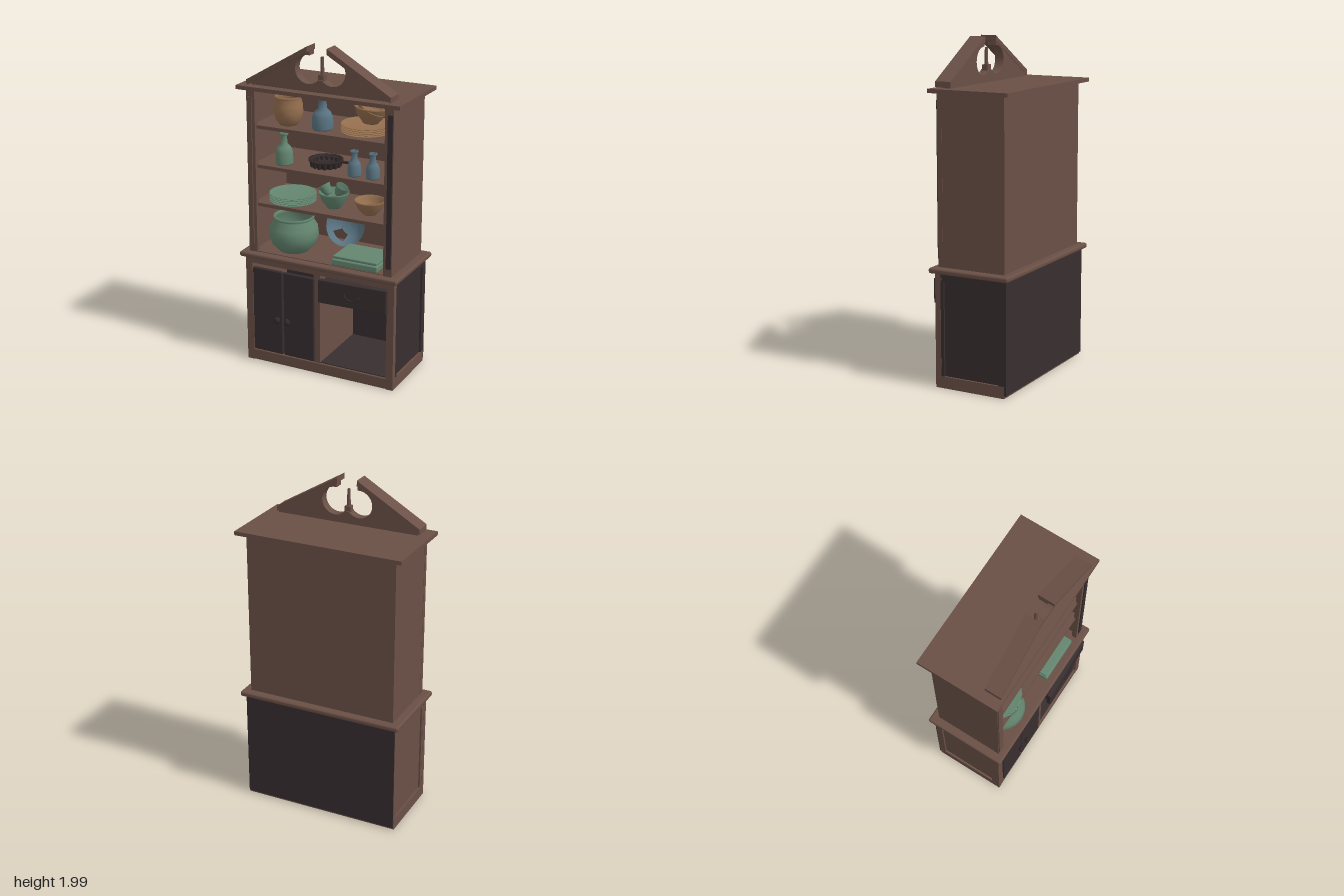
import * as THREE from 'three';
import { RoundedBoxGeometry } from 'three/addons/geometries/RoundedBoxGeometry.js';

const mat = (name, color) => Object.assign(new THREE.MeshStandardMaterial({ color }), { name });

export function createModel() {
  const wood = mat('brown wood', 0x6a5046);
  const dark = mat('dark painted wood', 0x382e30);
  const iron = mat('cast iron', 0x33292a);
  const green = mat('green glaze', 0x648670);
  const blue = mat('blue glaze', 0x5a7583);
  const tan = mat('tan clay', 0x96704f);

  const root = new THREE.Group();
  root.name = 'hutch';
  root.rotation.y = -0.009;

  const add = (name, geo, m, x = 0, y = 0, z = 0, parent = root) => {
    const mesh = new THREE.Mesh(geo, m);
    mesh.name = name;
    mesh.position.set(x, y, z);
    parent.add(mesh);
    return mesh;
  };
  // Box given by its limits on each axis
  const box = (name, m, x0, x1, y0, y1, z0, z1, round = 0) => {
    const s = [x1 - x0, y1 - y0, z1 - z0];
    const geo = round ? new RoundedBoxGeometry(...s, 2, round) : new THREE.BoxGeometry(...s);
    return add(name, geo, m, (x0 + x1) / 2, (y0 + y1) / 2, (z0 + z1) / 2);
  };
  // Turned vessel: closed profile of [radius, height] pairs
  const turned = (pts) => new THREE.LatheGeometry(pts.map((p) => new THREE.Vector2(...p)), 32);

  // Lower cabinet
  box('baseBottom', wood, -0.485, 0.485, 0.015, 0.085, -0.25, 0.19);
  box('baseBack', dark, -0.483, 0.483, 0.03, 0.69, -0.262, -0.25);
  box('baseFloor', dark, 0.01, 0.465, 0.085, 0.09, -0.25, 0.185);
  box('partition', wood, -0.03, 0.01, 0.085, 0.69, -0.25, 0.192);
  box('topRail', wood, -0.484, 0.484, 0.65, 0.69, 0.15, 0.193);
  box('bottomRail', wood, -0.484, 0.484, 0.02, 0.085, 0.15, 0.195, 0.006);
  for (const s of [-1, 1]) {
    const m = s > 0 ? dark : wood;
    const side = (name, mt, a, b, ...r) => box(name, mt, Math.min(s * a, s * b), Math.max(s * a, s * b), ...r);
    side('frontStile', wood, 0.44, 0.485, 0.015, 0.69, 0.16, 0.195);
    side('sideLining', wood, 0.455, 0.465, 0.085, 0.69, -0.25, 0.16);
    side('sidePanel', m, 0.465, 0.473, 0.03, 0.69, -0.25, 0.16);
    side('sideTopRail', m, 0.473, 0.484, 0.645, 0.69, -0.255, 0.16);
    side('sideBottomRail', m, 0.473, 0.484, 0.03, 0.075, -0.255, 0.16);
    side('sideBackStile', m, 0.473, 0.484, 0.03, 0.69, -0.258, -0.215);
    side('sideFrontStile', m, 0.473, 0.484, 0.03, 0.69, 0.14, 0.16);
  }
  box('countertop', wood, -0.512, 0.512, 0.69, 0.722, -0.287, 0.225, 0.012);

  // Doors with knobs
  for (const [x0, x1, knobX] of [[-0.436, -0.235, -0.264], [-0.23, -0.025, -0.196]]) {
    box('door', dark, x0, x1, 0.09, 0.628, 0.18, 0.203, 0.009);
    const knob = add('doorKnob', new THREE.SphereGeometry(0.02, 20, 14), iron, knobX, 0.32, 0.222);
    knob.scale.set(0.9, 1.1, 0.8);
    const stem = add('knobStem', new THREE.CylinderGeometry(0.01, 0.01, 0.03, 12), iron, knobX, 0.32, 0.208);
    stem.rotation.x = Math.PI / 2;
  }
  add('keyhole', new THREE.CircleGeometry(0.008, 12), iron, -0.26, 0.59, 0.2035);

  // Drawer, slightly skewed
  const drawer = new THREE.Group();
  drawer.name = 'drawer';
  drawer.position.set(0.237, 0.577, 0.222);
  drawer.rotation.y = 0.05;
  root.add(drawer);
  add('drawerFront', new RoundedBoxGeometry(0.425, 0.145, 0.03, 2, 0.006), dark, 0, 0, 0, drawer);
  add('drawerBody', new THREE.BoxGeometry(0.39, 0.11, 0.34), dark, 0, 0.005, -0.18, drawer);
  const pull = new THREE.CatmullRomCurve3([[-0.048, 0.01, 0.012], [-0.04, -0.008, 0.022], [0, -0.024, 0.024],
    [0.04, -0.008, 0.022], [0.048, 0.01, 0.012]].map((p) => new THREE.Vector3(...p)));
  add('drawerPull', new THREE.TubeGeometry(pull, 24, 0.005, 8), iron, 0, 0, 0, drawer);

  // Upper case
  box('upperBack', wood, -0.455, 0.455, 0.72, 1.715, -0.24, -0.225);
  box('cornerPlinth', wood, -0.463, 0.463, 0.715, 0.726, -0.24, 0.18);
  for (const s of [-1, 1]) {
    add('upperSide', new THREE.BoxGeometry(0.025, 0.995, 0.4), wood, s * 0.449, 1.2175, -0.04);
    add('upperStile', new THREE.BoxGeometry(0.053, 0.995, 0.03), wood, s * 0.4365, 1.2175, 0.17);
    add('stilePanel', new THREE.BoxGeometry(0.03, 0.9, 0.006), s > 0 ? dark : wood, s * 0.444, 1.22, 0.188);
  }
  for (const y of [1.025, 1.26, 1.498]) box('shelf', wood, -0.438, 0.438, y - 0.02, y, -0.23, 0.165);
  box('topBoard', wood, -0.512, 0.512, 1.712, 1.735, -0.287, 0.218);

  // Broken pediment with scrolled opening
  const rad = Math.PI / 180;
  const board = new THREE.Shape();
  board.moveTo(-0.44, 1.735).lineTo(0.44, 1.735).lineTo(0.44, 1.76).lineTo(0.065, 1.97);
  board.absarc(0.075, 1.86, 0.082, 97 * rad, -140 * rad, true);
  board.absarc(-0.075, 1.86, 0.082, -40 * rad, -277 * rad, true);
  board.lineTo(-0.065, 1.97).lineTo(-0.44, 1.76);
  add('pedimentBoard', new THREE.ExtrudeGeometry(board, { depth: 0.055, bevelEnabled: false, curveSegments: 20 }), wood, 0, 0, 0.105);
  for (const s of [-1, 1]) {
    const rake = new THREE.Shape([[0.45, 1.74], [0.45, 1.772], [0.062, 2], [0.062, 1.967]].map(([x, y]) => new THREE.Vector2(s * x, y)));
    add('rakingCornice', new THREE.ExtrudeGeometry(rake, { depth: 0.1, bevelEnabled: false }), wood, 0, 0, 0.102);
  }
  box('finialBlock', wood, -0.018, 0.018, 1.775, 1.835, 0.112, 0.15);
  add('finialPin', new THREE.CylinderGeometry(0.009, 0.011, 0.1, 12), wood, 0, 1.885, 0.131);

  // Crockery profiles
  const bowl = (r, h) => turned([[0, 0], [r * 0.45, 0], [r * 0.5, h * 0.08], [r * 0.8, h * 0.45], [r * 0.94, h * 0.85], [r, h * 0.92],
    [r, h], [r * 0.93, h], [r * 0.86, h * 0.75], [r * 0.68, h * 0.4], [r * 0.4, h * 0.14], [0, h * 0.12]]);
  const pot = (r, h, neck) => turned([[0, 0], [r * 0.6, 0], [r * 0.88, h * 0.2], [r, h * 0.45], [r * 0.96, h * 0.7], [neck * 0.94, h * 0.9],
    [neck, h * 0.95], [neck, h], [neck * 0.9, h], [neck * 0.88, h * 0.9], [r * 0.92, h * 0.6], [r * 0.75, h * 0.2], [0, h * 0.08]]);
  const bottle = (r, h, neck) => turned([[0, 0], [r * 0.9, 0], [r, h * 0.05], [r * 0.97, h * 0.4], [r * 0.75, h * 0.55], [neck, h * 0.66],
    [neck * 0.85, h * 0.9], [neck * 1.25, h * 0.94], [neck * 1.25, h], [neck * 0.7, h], [neck * 0.6, h * 0.7], [0, h * 0.65]]);
  const plates = (m, r, x, y, z) => {
    for (let i = 0; i < 5; i++) {
      add('plate', turned([[0, 0], [r * 0.6, 0], [r, 0.009], [r, 0.012], [r * 0.97, 0.012], [r * 0.62, 0.004], [0, 0.004]]), m, x, y + i * 0.0105, z);
    }
  };

  // Bottom shelf
  add('largePot', pot(0.148, 0.215, 0.122), green, -0.235, 0.726, 0.05);
  box('coveredDish', green, 0.08, 0.37, 0.726, 0.765, -0.05, 0.18, 0.008);
  box('dishLid', green, 0.085, 0.365, 0.767, 0.785, -0.045, 0.175, 0.006);
  // Leaning bowl with a piece missing from its wall
  const blueOpen = blue.clone();
  blueOpen.side = THREE.DoubleSide;
  const leaning = new THREE.Group();
  leaning.name = 'brokenBowl';
  leaning.position.set(0.035, 0.845, -0.17);
  leaning.rotation.x = 1.25;
  root.add(leaning);
  const ring = (pts, start = 0, len = Math.PI * 2) =>
    add('bowlWall', new THREE.LatheGeometry(pts.map((p) => new THREE.Vector2(...p)), 32, start, len), blueOpen, 0, 0, 0, leaning);
  ring([[0, 0], [0.035, 0.002], [0.055, 0.012]]);
  ring([[0.055, 0.012], [0.08, 0.028], [0.1, 0.052]], -0.15, Math.PI * 2 - 0.95);
  ring([[0.1, 0.052], [0.118, 0.078], [0.126, 0.085]]);

  // Second shelf
  plates(green, 0.14, -0.245, 1.025, 0.04);
  add('greenBowl', bowl(0.09, 0.095), green, 0.02, 1.025, 0.03);
  for (const [x, z, tilt] of [[-0.005, 0.04, 0.6], [0.04, 0.02, -0.5]]) {
    const cup = add('cup', bowl(0.038, 0.065), green, x, 1.1, z);
    cup.rotation.z = tilt;
  }
  add('tanBowl', bowl(0.09, 0.085), tan, 0.255, 1.025, 0.04);

  // Third shelf
  add('greenBottle', bottle(0.053, 0.19, 0.02), green, -0.278, 1.26, 0.08);
  const pan = new THREE.Group();
  pan.name = 'flutedPan';
  pan.position.set(-0.047, 1.26, 0);
  root.add(pan);
  add('panBody', turned([[0, 0], [0.078, 0], [0.085, 0.03], [0.102, 0.034], [0.102, 0.042], [0.084, 0.042], [0.074, 0.01], [0, 0.01]]), iron, 0, 0, 0, pan);
  for (let i = 0; i < 16; i++) {
    const a = (i / 16) * Math.PI * 2;
    add('panFlute', new THREE.CylinderGeometry(0.013, 0.01, 0.032, 10), iron, Math.cos(a) * 0.083, 0.016, Math.sin(a) * 0.083, pan);
  }
  add('panHandle', new THREE.BoxGeometry(0.06, 0.01, 0.022), iron, 0.13, 0.037, 0, pan);
  for (const x of [0.18, 0.296]) add('blueVase', bottle(0.04, 0.148, 0.019), blue, x, 1.26, 0.09);

  // Top shelf
  add('tanPot', pot(0.086, 0.17, 0.08), tan, -0.257, 1.498, 0.06);
  add('blueJug', bottle(0.062, 0.185, 0.026), blue, -0.037, 1.498, 0.06);
  plates(tan, 0.145, 0.225, 1.505, 0.03);
  add('stackedBowl', bowl(0.1, 0.1), tan, 0.245, 1.563, 0.02).rotation.z = -0.08;
  add('tiltedBowl', bowl(0.085, 0.07), tan, 0.225, 1.6, 0.03).rotation.z = -0.55;

  const model = new THREE.Group();
  model.add(root);
  return model;
}
